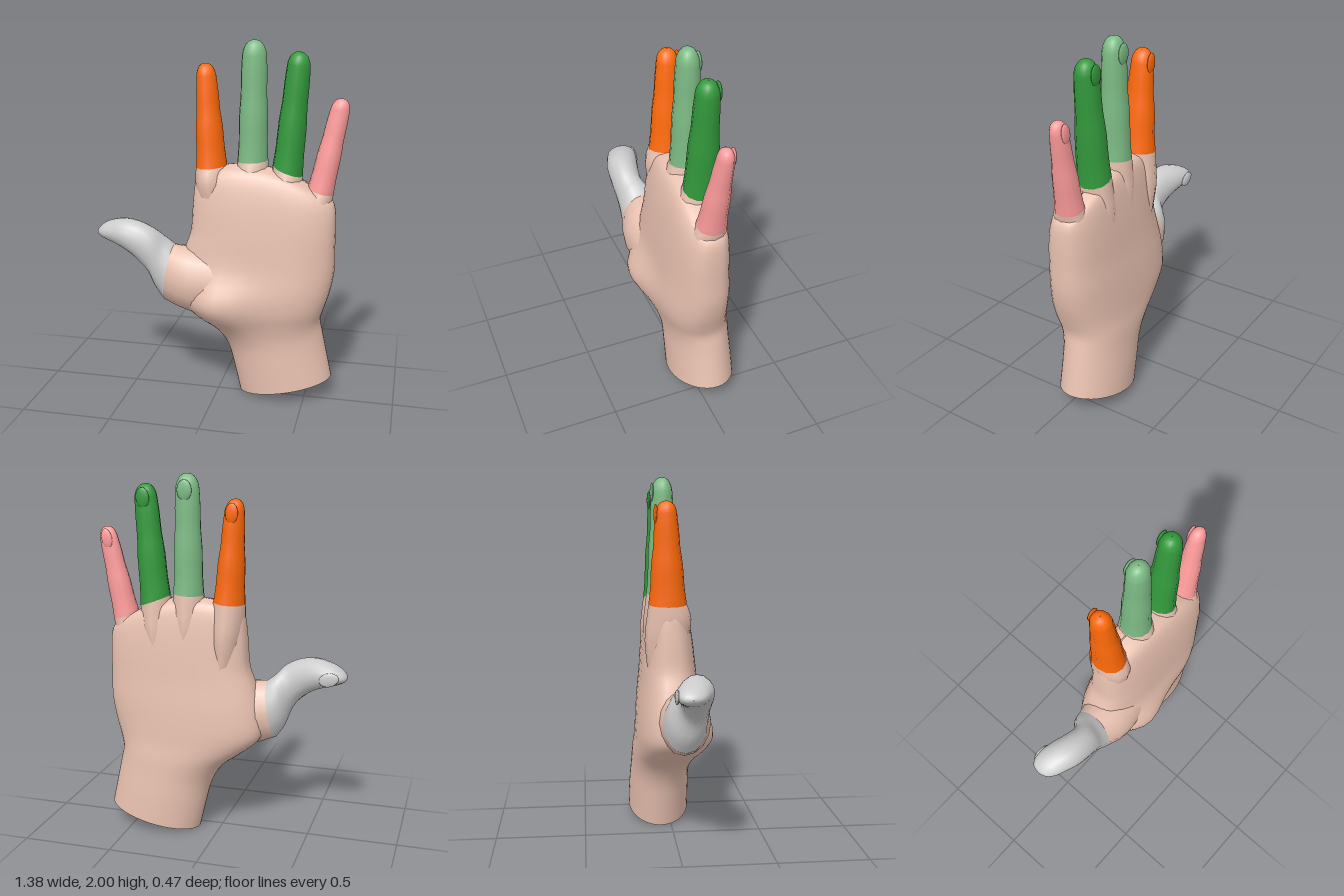
import * as THREE from 'three';

const SKIN = 0xe8c1b0;
const lerp = THREE.MathUtils.lerp;

function material(color) {
  return new THREE.MeshStandardMaterial({ color, side: THREE.DoubleSide });
}

// Catmull-Rom blend between cross-sections, so a few rows give a smooth skin
function refine(rows, steps) {
  const out = [];
  for (let i = 0; i < rows.length - 1; i++) {
    const p0 = rows[Math.max(i - 1, 0)], p1 = rows[i], p2 = rows[i + 1];
    const p3 = rows[Math.min(i + 2, rows.length - 1)];
    for (let k = 0; k < steps; k++) {
      const t = k / steps;
      out.push(p1.map((v, n) => {
        const c1 = p2[n] - p0[n];
        const c2 = 2 * p0[n] - 5 * v + 4 * p2[n] - p3[n];
        const c3 = 3 * (v - p2[n]) + p3[n] - p0[n];
        return v + 0.5 * t * (c1 + t * (c2 + t * c3));
      }));
    }
  }
  out.push(rows[rows.length - 1]);
  return out;
}

// Skin over sections [ax, ay, bx, by, zBack, zFront, bow, exponent]; a and b are the two edges
function loft(name, color, rows, { sides = 16, steps = 3, bulge = () => 0 } = {}) {
  const pos = [], index = [];
  const sections = refine(rows.map((r) => [...r.slice(0, 6), r[6] ?? 0, r[7] ?? 1]), steps);
  sections.forEach(([ax, ay, bx, by, zb, zf, bow, e], i) => {
    for (let j = 0; j < sides; j++) {
      const t = (j / sides) * Math.PI * 2;
      const c = Math.sign(Math.cos(t)) * Math.abs(Math.cos(t)) ** e;
      const s = Math.sign(Math.sin(t)) * Math.abs(Math.sin(t)) ** e;
      const x = (ax + bx) / 2 + ((bx - ax) / 2) * c;
      const y = (ay + by) / 2 + ((by - ay) / 2) * c + bow * (1 - c * c);
      pos.push(x, y, (zb + zf) / 2 + ((zf - zb) / 2) * s + bulge(x, y) * Math.max(s, 0));
      if (i === 0) continue;
      const q = (i - 1) * sides + j, r = (i - 1) * sides + ((j + 1) % sides);
      index.push(q, q + sides, r, r, q + sides, r + sides);
    }
  });
  const geo = new THREE.BufferGeometry();
  geo.setAttribute('position', new THREE.Float32BufferAttribute(pos, 3));
  geo.setIndex(index);
  geo.computeVertexNormals();
  const mesh = new THREE.Mesh(geo, material(color));
  mesh.name = name;
  return mesh;
}

function nail(name, color, position, scale, turn) {
  const mesh = new THREE.Mesh(new THREE.SphereGeometry(1, 14, 8), material(color));
  mesh.name = name;
  mesh.position.set(...position);
  mesh.scale.set(...scale);
  mesh.rotation.z = turn;
  return mesh;
}

// Finger: base and top edges, tip length, depth at base and top
function finger(name, color, base, top, tip, zBase, zTop) {
  const group = new THREE.Group();
  group.name = name;
  const mid = (r) => [(r[0] + r[2]) / 2, (r[1] + r[3]) / 2];
  const [mx, my] = mid(top), [bx, by] = mid(base);
  const len = Math.hypot(mx - bx, my - by);
  const dir = [(mx - bx) / len, (my - by) / len];
  const from = [...base, ...zBase], to = [...top, ...zTop];

  // shaft with slight swellings at the joints
  const rows = [[0, 1], [0.2, 0.97], [0.45, 1.02], [0.65, 0.97], [0.85, 1.01], [1, 1]].map(([s, w]) => {
    const r = from.map((v, n) => lerp(v, to[n], s));
    const [cx, cy] = mid(r), cz = (r[4] + r[5]) / 2;
    const c = [cx, cy, cx, cy, cz, cz];
    return r.map((v, n) => c[n] + (v - c[n]) * w);
  });
  // rounded tip
  const cz = (zTop[0] + zTop[1]) / 2;
  const center = [mx, my, mx, my, cz, cz];
  for (const a of [0.35, 0.7, 1.0, 1.3, 1.56]) {
    const h = tip * Math.sin(a), w = Math.cos(a) ** 0.85;
    rows.push(to.map((v, n) => center[n] + (v - center[n]) * w + (n < 4 ? dir[n % 2] * h : 0)));
  }
  group.add(loft(name + 'Shaft', color, rows, { sides: 12, steps: 2 }));

  // knuckle running down into the palm
  const down = (d, w, zb, zf) => {
    const hw = ((base[2] - base[0]) / 2) * w;
    const x = bx - dir[0] * d, y = by - d;
    return [x - hw, y, x + hw, y, zb, zf];
  };
  group.add(loft(name + 'Knuckle', SKIN, [
    down(0.4, 0.6, -0.14, 0.04),
    down(0.2, 0.95, zBase[0] - 0.02, 0.08),
    down(0.08, 1.04, zBase[0] - 0.01, zBase[1] + 0.025),
    from,
  ], { sides: 12 }));

  const width = (top[2] - top[0]) / 2;
  group.add(nail(name + 'Nail', color, [mx, my + tip * 0.15, zTop[0] + 0.004],
    [width * 0.62, 0.055, 0.012], -Math.atan2(dir[0], dir[1])));
  return group;
}

export function createModel() {
  const hand = new THREE.Group();
  hand.name = 'hand';

  // palm and open wrist, with the thumb mound and the outer heel swelling forward
  const mound = (x, y, cx, cy, rx, ry) => Math.exp(-(((x - cx) / rx) ** 2) - ((y - cy) / ry) ** 2);
  hand.add(loft('palm', SKIN, [
    [0.12, 0, 0.645, 0.12, -0.235, 0.12, 0, 1],
    [0.085, 0.15, 0.615, 0.26, -0.23, 0.12, 0, 1],
    [0.05, 0.28, 0.59, 0.38, -0.22, 0.12, 0, 0.95],
    [-0.02, 0.39, 0.575, 0.46, -0.215, 0.135, 0, 0.85],
    [-0.15, 0.485, 0.595, 0.54, -0.205, 0.155, 0, 0.8],
    [-0.24, 0.58, 0.625, 0.64, -0.2, 0.16, 0, 0.8],
    [-0.23, 0.72, 0.645, 0.76, -0.19, 0.15, 0, 0.78],
    [-0.19, 0.86, 0.645, 0.89, -0.175, 0.145, 0, 0.75],
    [-0.155, 0.96, 0.645, 1.0, -0.165, 0.135, 0.02, 0.72],
    [-0.145, 1.1, 0.64, 1.1, -0.15, 0.115, 0.05, 0.7],
    [-0.135, 1.22, 0.625, 1.15, -0.13, 0.085, 0.08, 0.7],
    [-0.125, 1.27, 0.6, 1.17, -0.1, 0.045, 0.095, 0.75],
    [-0.11, 1.28, 0.58, 1.18, -0.04, -0.035, 0.105, 0.8],
  ], {
    sides: 40,
    bulge: (x, y) => 0.085 * mound(x, y, 0, 0.57, 0.2, 0.15) + 0.02 * mound(x, y, 0.45, 0.65, 0.18, 0.18),
  }));

  // thumb: skin root, then the grey digit (lower edge first, upper edge second)
  const root = [-0.3, 0.55, -0.245, 0.875, -0.08, 0.16];
  hand.add(loft('thumbRoot', SKIN, [
    [0.02, 0.48, 0.04, 0.84, -0.1, 0.17],
    [-0.15, 0.495, -0.13, 0.865, -0.11, 0.195],
    root,
  ]));
  hand.add(loft('thumb', 0xcccccc, [
    root,
    [-0.35, 0.625, -0.29, 0.91, -0.06, 0.155],
    [-0.385, 0.72, -0.345, 0.965, -0.01, 0.16],
    [-0.44, 0.785, -0.43, 1.005, -0.01, 0.165],
    [-0.51, 0.835, -0.52, 1.015, -0.03, 0.16],
    [-0.58, 0.865, -0.6, 0.998, -0.045, 0.135],
    [-0.64, 0.885, -0.65, 0.975, -0.04, 0.11],
    [-0.68, 0.905, -0.682, 0.948, -0.015, 0.075],
    [-0.692, 0.925, -0.692, 0.928, 0.028, 0.032],
  ]));
  hand.add(nail('thumbNail', 0xcccccc, [-0.6, 0.925, -0.04], [0.055, 0.038, 0.012], -0.3));

  // fingers
  hand.add(finger('indexFinger', 0xff6a0a, [-0.135, 1.31, 0.04, 1.325],
    [-0.132, 1.79, -0.02, 1.785], 0.085, [-0.14, 0.07], [-0.105, 0.015]));
  hand.add(finger('middleFinger', 0x7dbb85, [0.095, 1.35, 0.265, 1.36],
    [0.115, 1.9, 0.25, 1.9], 0.1, [-0.135, 0.045], [-0.105, 0.015]));
  hand.add(finger('ringFinger', 0x339a3c, [0.29, 1.34, 0.455, 1.28],
    [0.355, 1.865, 0.48, 1.85], 0.085, [-0.14, 0.05], [-0.105, 0.015]));
  hand.add(finger('littleFinger', 0xff9c9c, [0.485, 1.23, 0.625, 1.19],
    [0.588, 1.64, 0.69, 1.625], 0.075, [-0.105, 0.055], [-0.085, 0.002]));

  return hand;
}
